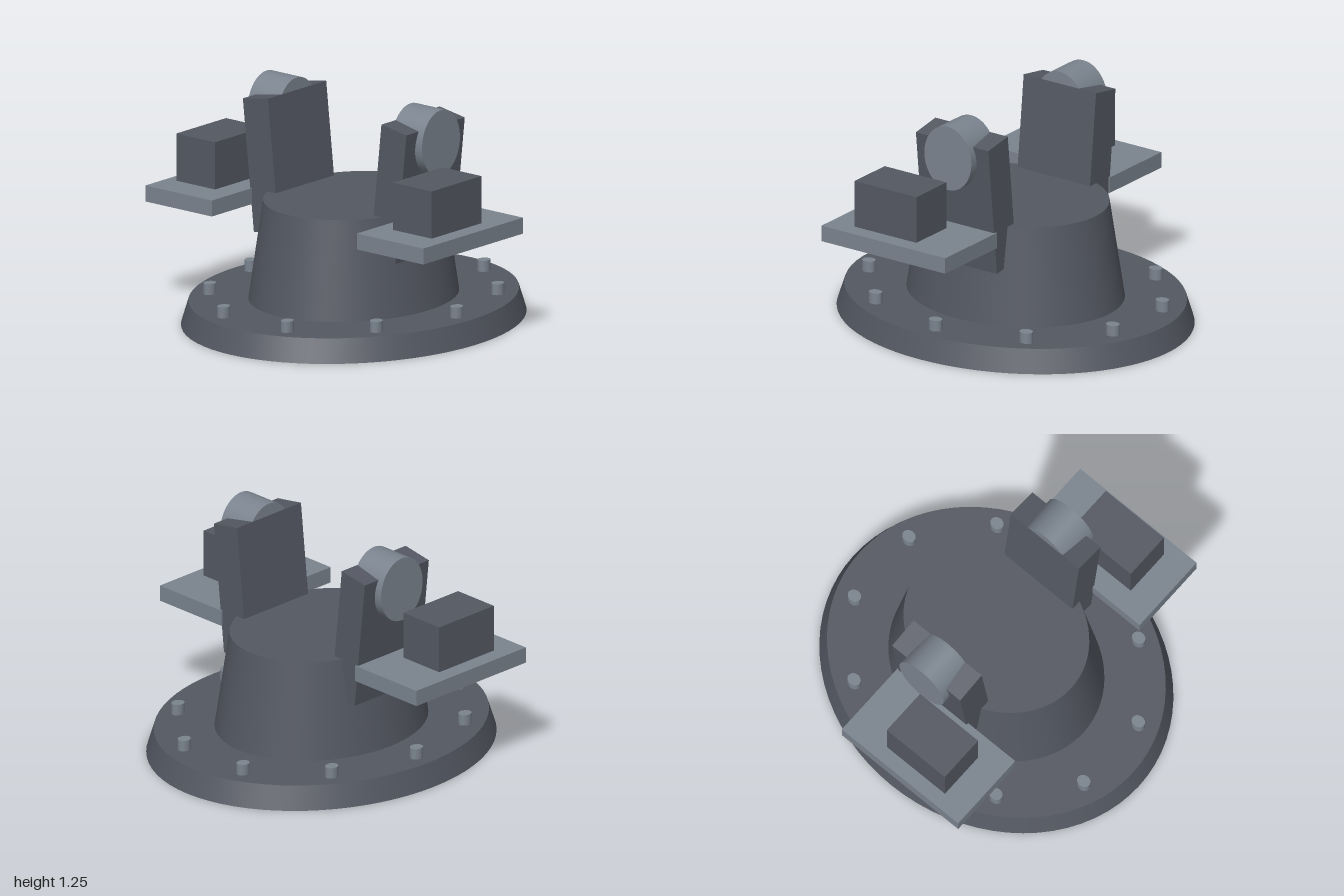
import * as THREE from 'three';

export function createModel() {
  const model = new THREE.Group();
  const darkMetal = new THREE.MeshStandardMaterial({ color: 0x545862 });
  darkMetal.name = 'dark metal';
  const lightMetal = new THREE.MeshStandardMaterial({ color: 0x7a838e });
  lightMetal.name = 'light metal';
  const OVAL = 0.855; // every round part is narrower in x than in z

  function add(name, geometry, material, x, y, z) {
    const mesh = new THREE.Mesh(geometry, material);
    mesh.name = name;
    mesh.position.set(x, y, z);
    model.add(mesh);
    return mesh;
  }

  // upright tapered oval, given its z radii and its bottom and top heights
  function ovalDrum(name, rTop, rBottom, y0, y1, material, x = 0, z = 0, sides = 72) {
    const g = new THREE.CylinderGeometry(rTop, rBottom, y1 - y0, sides);
    g.scale(OVAL, 1, 1);
    return add(name, g, material, x, (y0 + y1) / 2, z);
  }

  // box from its lower and upper corners
  function block(name, [x0, y0, z0], [x1, y1, z1], material) {
    const g = new THREE.BoxGeometry(Math.abs(x1 - x0), y1 - y0, z1 - z0);
    return add(name, g, material, (x0 + x1) / 2, (y0 + y1) / 2, (z0 + z1) / 2);
  }

  // base plate and pedestal
  ovalDrum('basePlate', 0.957, 1, 0, 0.13, darkMetal);
  ovalDrum('pedestal', 0.525, 0.61, 0.13, 0.67, darkMetal);

  // ring of ten bolts
  for (let i = 0; i < 10; i++) {
    const a = (i / 10) * Math.PI * 2;
    ovalDrum('bolt', 0.038, 0.038, 0.13, 0.19, lightMetal,
      0.72 * Math.cos(a), 0.845 * Math.sin(a), 20);
  }

  for (const s of [1, -1]) {
    const side = s > 0 ? 'left' : 'right';

    // arm leaning outward
    const outline = new THREE.Shape(
      [[0.32, 0.455], [0.495, 0.43], [0.572, 1.153], [0.397, 1.182]]
        .map(([x, y]) => new THREE.Vector2(s * x, y)));
    const armGeometry = new THREE.ExtrudeGeometry(outline, { depth: 0.477, bevelEnabled: false });
    add(side + 'Arm', armGeometry, darkMetal, 0, 0, -0.239);

    // pivot drum through the top of the arm
    const drum = new THREE.CylinderGeometry(1, 1, 0.212, 48);
    drum.rotateZ(Math.PI / 2);
    drum.scale(1, 0.18, 0.155);
    add(side + 'Pivot', drum, lightMetal, s * 0.504, 1.07, 0);

    // side platform with its equipment box
    block(side + 'Platform', [s * 0.507, 0.582, -0.248], [s * 0.972, 0.67, 0.568], lightMetal);
    block(side + 'Box', [s * 0.622, 0.677, 0], [s * 0.893, 0.937, 0.407], darkMetal);
  }
  return model;
}
